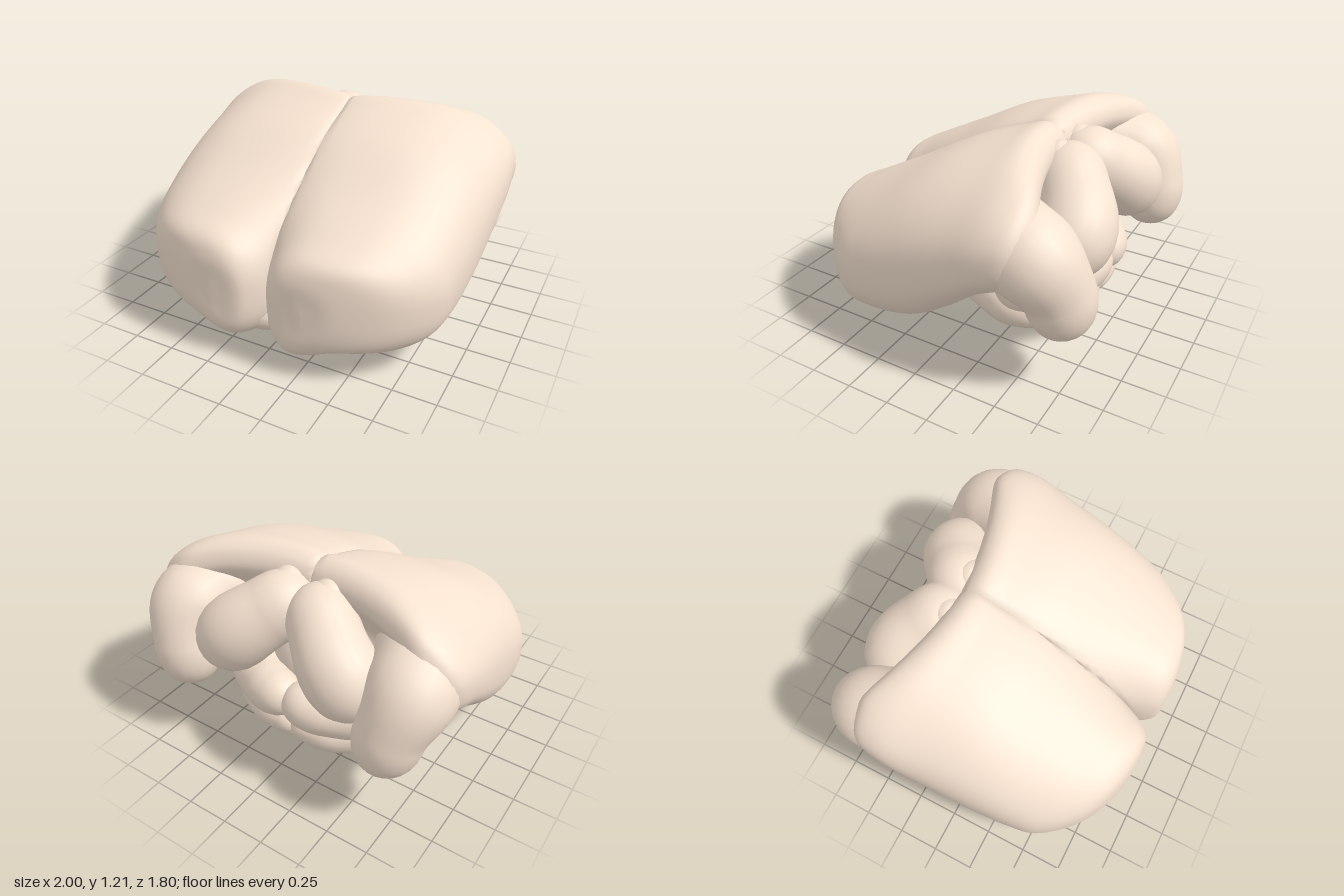
import * as THREE from 'three';
import { mergeVertices } from 'three/addons/utils/BufferGeometryUtils.js';

const material = new THREE.MeshStandardMaterial({ color: 0xf6e2d0 });
const V = (p) => new THREE.Vector3(...p);
const { lerp, smoothstep } = THREE.MathUtils;

// Weld seams and give smooth normals
function smooth(geometry) {
  geometry.deleteAttribute('uv');
  geometry.deleteAttribute('normal');
  const g = mergeVertices(geometry, 1e-4);
  g.computeVertexNormals();
  return g;
}

// Mirrored copy across x = 0 with the winding turned round
function mirrored(geometry) {
  const g = geometry.clone().scale(-1, 1, 1);
  const a = g.index.array;
  for (let i = 0; i < a.length; i += 3) [a[i], a[i + 1]] = [a[i + 1], a[i]];
  g.computeVertexNormals();
  return g;
}

// Round-ended tube whose radius follows a list of values
function sausage(points, radii) {
  const curve = new THREE.CatmullRomCurve3(points.map(V));
  const rings = 72, sides = 24, length = curve.getLength();
  const g = new THREE.TubeGeometry(curve, rings, 1, sides, false);
  const pos = g.attributes.position, p = new THREE.Vector3();
  for (let i = 0; i <= rings; i++) {
    const u = i / rings, c = curve.getPointAt(u);
    const f = u * (radii.length - 1), k = Math.min(Math.floor(f), radii.length - 2);
    let r = lerp(radii[k], radii[k + 1], smoothstep(f - k, 0, 1));
    const d = Math.min(u, 1 - u) * length;
    if (d < r) r *= Math.sqrt(Math.max(0.0004, 1 - (1 - d / r) ** 2));
    for (let j = 0; j <= sides; j++) {
      const n = i * (sides + 1) + j;
      p.fromBufferAttribute(pos, n).sub(c).multiplyScalar(r).add(c);
      pos.setXYZ(n, p.x, p.y, p.z);
    }
  }
  return smooth(g);
}

function ellipsoid(center, radii) {
  const g = smooth(new THREE.SphereGeometry(1, 32, 20));
  g.scale(...radii).translate(...center);
  g.computeVertexNormals();
  return g;
}

// Large lobe: superellipse sections from front to back, flat where the two lobes meet
function lobe() {
  // z top, y top, z bottom, y bottom, inner x, outer x
  const sections = [
    [0.895, 0.46, 0.9, 0.42, 0.25, 0.29],
    [0.885, 0.6, 0.9, 0.28, 0.1, 0.47],
    [0.84, 0.7, 0.84, 0.19, 0.04, 0.73],
    [0.7, 0.78, 0.68, 0.125, -0.04, 0.91],
    [0.4, 0.925, 0.4, 0.09, -0.2, 0.95],
    [0.1, 1.08, 0.15, 0.125, -0.3, 0.975],
    [-0.15, 1.17, -0.06, 0.27, -0.35, 0.99],
    [-0.29, 1.21, -0.2, 0.46, -0.35, 1.0],
    [-0.37, 1.17, -0.32, 0.56, -0.3, 0.97],
    [-0.41, 1.07, -0.41, 0.62, -0.1, 0.87],
    [-0.36, 0.96, -0.36, 0.74, 0.1, 0.7],
    [-0.32, 0.87, -0.32, 0.83, 0.32, 0.4],
  ];
  const sides = 56, rings = 66, n = 2.55;
  const pow = (v) => Math.sign(v) * Math.abs(v) ** (2 / n);
  const positions = [], index = [];
  for (let j = 0; j < sides; j++) {
    const a = (j / sides) * Math.PI * 2, cx = pow(Math.cos(a)), cy = pow(Math.sin(a));
    const line = new THREE.CatmullRomCurve3(sections.map(([zt, yt, zb, yb, xi, xo]) => {
      const x = (xi + xo) / 2 + (cx * (xo - xi)) / 2, t = (cy + 1) / 2;
      const z = lerp(zb, zt, t);
      // the top falls outwards, the inner front bottom sags
      const drop = 0.09 * t * Math.max(x, 0) ** 3;
      const sag = 0.13 * (1 - t) * (1 - smoothstep(x, 0.1, 0.5)) * smoothstep(z, 0.1, 0.5);
      // the outer rear sweeps back, the outer front is bevelled
      const sweep = Math.min(0.35 * x * x, 0.2) * smoothstep(-z, 0, 0.4);
      const bevel = 0.4 * (x - 0.25) ** 2 * smoothstep(z, 0.3, 0.8);
      return new THREE.Vector3(x, lerp(yb, yt, t) - drop - sag, z - sweep - bevel);
    }), false, 'centripetal');
    for (let i = 0; i <= rings; i++) {
      const p = line.getPoint(i / rings);
      positions.push(Math.max(p.x, 0.001), p.y, p.z);
    }
  }
  const id = (i, j) => (j % sides) * (rings + 1) + i;
  for (let j = 0; j < sides; j++) {
    for (let i = 0; i < rings; i++) {
      index.push(id(i, j), id(i + 1, j), id(i, j + 1), id(i + 1, j), id(i + 1, j + 1), id(i, j + 1));
    }
    if (j > 0 && j < sides - 1) {
      index.push(id(0, 0), id(0, j), id(0, j + 1), id(rings, 0), id(rings, j + 1), id(rings, j));
    }
  }
  const g = new THREE.BufferGeometry();
  g.setAttribute('position', new THREE.Float32BufferAttribute(positions, 3));
  g.setIndex(index);
  g.computeVertexNormals();
  return g;
}

export function createModel() {
  const model = new THREE.Group();
  model.name = 'foldedLobes';

  const parts = {
    lobe: lobe(),
    // lower inner swelling under each lobe
    underside: ellipsoid([0.12, 0.18, 0.42], [0.32, 0.17, 0.36]),
    // rear end of the lobe, drooping into a horn
    horn: sausage(
      [[0.55, 0.82, -0.05], [0.7, 0.82, -0.42], [0.735, 0.765, -0.59], [0.69, 0.57, -0.7], [0.65, 0.33, -0.66]],
      [0.24, 0.265, 0.245, 0.195, 0.165]),
    // fold descending from the rear top
    upperFold: sausage(
      [[0.0, 1.04, -0.36], [0.16, 0.92, -0.51], [0.34, 0.77, -0.625], [0.52, 0.55, -0.58]],
      [0.17, 0.2, 0.22, 0.18]),
    // small node between the upper folds
    node: ellipsoid([0.13, 1.0, -0.41], [0.12, 0.14, 0.12]),
    // crosswise fold in the middle of the rear
    middleFold: sausage(
      [[0.57, 0.46, -0.26], [0.4, 0.38, -0.43], [0.16, 0.4, -0.59], [-0.04, 0.45, -0.64]],
      [0.15, 0.165, 0.15, 0.12]),
    // stem running back from below, then turning to the middle
    stem: sausage(
      [[0.04, 0.15, 0.35], [0.17, 0.18, 0.14], [0.36, 0.25, -0.12], [0.46, 0.26, -0.33], [0.27, 0.21, -0.53], [-0.03, 0.21, -0.59]],
      [0.15, 0.155, 0.155, 0.14, 0.11, 0.09]),
    // low bulb at the rear
    bulb: ellipsoid([0.11, 0.11, -0.42], [0.14, 0.11, 0.19]),
    // inner core behind the folds
    core: ellipsoid([0.08, 0.46, -0.22], [0.28, 0.3, 0.28]),
  };

  for (const [name, geometry] of Object.entries(parts)) {
    const title = name[0].toUpperCase() + name.slice(1);
    for (const [side, g] of [['left', geometry], ['right', mirrored(geometry)]]) {
      const mesh = new THREE.Mesh(g, material);
      mesh.name = side + title;
      model.add(mesh);
    }
  }
  return model;
}
